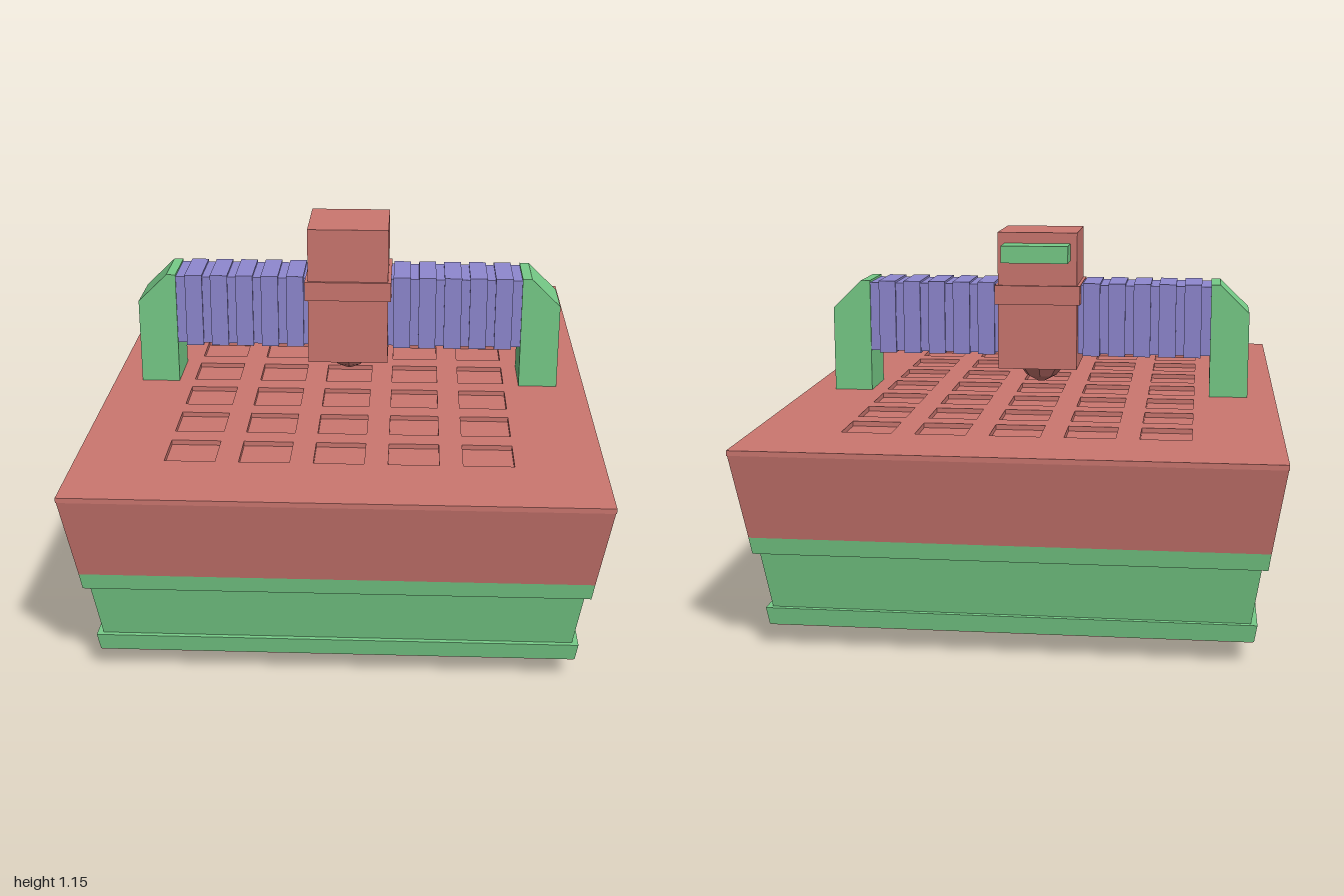
import * as THREE from 'three';

const paint = (color) => new THREE.MeshStandardMaterial({ color, flatShading: true });

export function createModel() {
  const model = new THREE.Group();
  const red = paint(0xcc7770), green = paint(0x77cc88), blue = paint(0x8f88d0);

  const add = (name, geometry, material, x = 0, y = 0, z = 0) => {
    const mesh = new THREE.Mesh(geometry, material);
    mesh.name = name;
    mesh.position.set(x, y, z);
    model.add(mesh);
    return mesh;
  };

  // Box from its minimum and maximum corners
  const block = (name, material, [x0, y0, z0], [x1, y1, z1]) =>
    add(name, new THREE.BoxGeometry(x1 - x0, y1 - y0, z1 - z0), material,
      (x0 + x1) / 2, (y0 + y1) / 2, (z0 + z1) / 2);

  // Tapered box: half sizes in x and z at the bottom and at the top
  const tier = (name, material, y0, y1, [bx, bz], [tx, tz]) => {
    const g = new THREE.BoxGeometry(2, y1 - y0, 2);
    const p = g.attributes.position;
    for (let i = 0; i < p.count; i++) {
      const top = p.getY(i) > 0;
      p.setX(i, p.getX(i) * (top ? tx : bx));
      p.setZ(i, p.getZ(i) * (top ? tz : bz));
    }
    g.computeVertexNormals();
    return add(name, g, material, 0, (y0 + y1) / 2, 0);
  };

  // Hull, from the ground up
  block('floorPlate', red, [-0.7, 0.068, -0.9], [0.7, 0.08, 0.9]);
  tier('baseRim', green, 0.07, 0.122, [0.702, 0.902], [0.71, 0.91]);
  tier('lowerHull', green, 0.12, 0.3, [0.692, 0.895], [0.718, 0.926]);
  tier('hullBand', green, 0.295, 0.345, [0.734, 0.942], [0.741, 0.95]);
  tier('upperHull', red, 0.345, 0.597, [0.741, 0.95], [0.778, 0.998]);

  // Work bed with a grid of shallow square pockets
  const bed = new THREE.Shape([[-0.78, -1], [0.78, -1], [0.78, 1], [-0.78, 1]]
    .map(([x, y]) => new THREE.Vector2(x, y)));
  for (let i = -2; i <= 2; i++) {
    for (let j = -3; j <= 3; j++) {
      const x = i * 0.22, y = j * 0.22, h = 0.075;
      bed.holes.push(new THREE.Path([[-h, -h], [-h, h], [h, h], [h, -h]]
        .map(([a, b]) => new THREE.Vector2(x + a, y + b))));
    }
  }
  const bedGeometry = new THREE.ExtrudeGeometry(bed, { depth: 0.015, bevelEnabled: false });
  bedGeometry.rotateX(-Math.PI / 2);
  add('workBed', bedGeometry, red, 0, 0.597, 0);

  // Gantry post outline with a chamfered outer shoulder
  const outline = [[0.565, 0.605], [0.69, 0.605], [0.69, 0.89], [0.595, 0.982], [0.565, 0.982]];

  for (const s of [-1, 1]) {
    const side = s > 0 ? 'left' : 'right';

    // Feet
    for (const z of [-0.605, 0.605]) {
      add(side + (z > 0 ? 'Front' : 'Back') + 'Foot',
        new THREE.BoxGeometry(0.108, 0.075, 0.086), red, s * 0.352, 0.0375, z);
    }

    // Post
    const shape = new THREE.Shape(outline.map(([x, y]) => new THREE.Vector2(s * x, y)));
    const post = new THREE.ExtrudeGeometry(shape, { depth: 0.184, bevelEnabled: false });
    add(side + 'Post', post, green, 0, 0, -0.092);

    // Bellows: a slim core with wider folds
    add(side + 'BellowsCore', new THREE.BoxGeometry(0.44, 0.228, 0.174), blue, s * 0.348, 0.861, 0);
    for (let i = 0; i < 5; i++) {
      add(side + 'BellowsFold', new THREE.BoxGeometry(0.056, 0.241, 0.188), blue,
        s * (0.175 + i * 0.083), 0.861, 0);
    }
  }

  // Tool head with collar, nozzle and rear grip
  block('toolHead', red, [-0.13, 0.7, -0.13], [0.13, 1.15, 0.13]);
  block('headCollar', red, [-0.14, 0.915, -0.14], [0.14, 0.977, 0.14]);
  const profile = [[0, 0.638], [0.015, 0.64], [0.052, 0.66], [0.084, 0.702]]
    .map(([r, y]) => new THREE.Vector2(r, y));
  add('nozzle', new THREE.LatheGeometry(profile, 8), red);
  block('rearGrip', green, [-0.108, 1.06, -0.225], [0.108, 1.115, -0.125]);

  return model;
}
